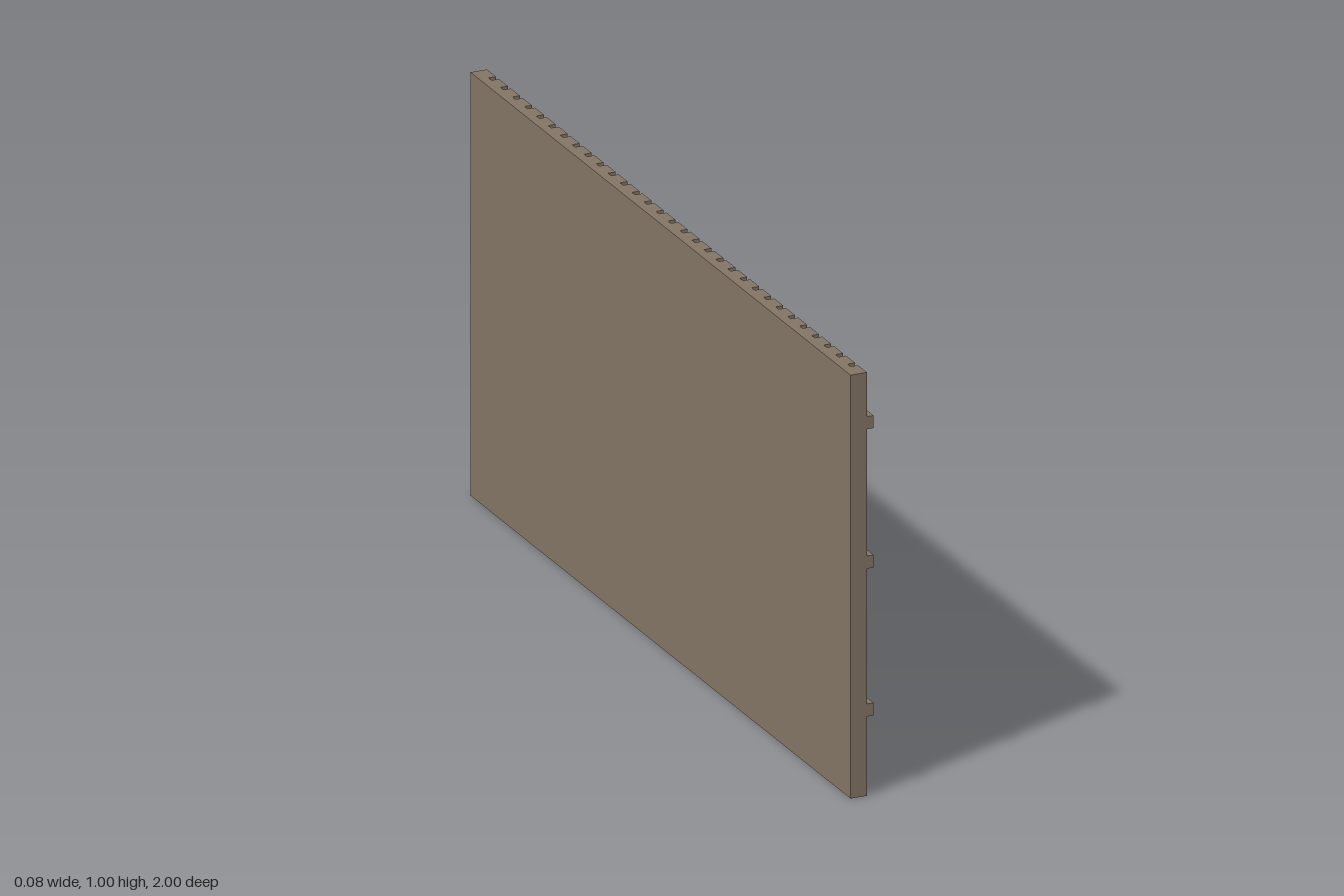
import * as THREE from 'three';

export function createModel() {
  const wood = new THREE.MeshStandardMaterial({ color: 0x857665 });
  wood.name = 'weathered wood';
  const rubber = new THREE.MeshStandardMaterial({ color: 0x34373a });
  rubber.name = 'dark rubber';

  const wall = new THREE.Group();
  wall.name = 'quayWall';
  const H = 1.005;

  // Box given by its x range, y range and z range
  function box(name, x0, x1, y0, y1, z0, z1) {
    const mesh = new THREE.Mesh(new THREE.BoxGeometry(x1 - x0, y1 - y0, z1 - z0), wood);
    mesh.position.set((x0 + x1) / 2, (y0 + y1) / 2, (z0 + z1) / 2);
    mesh.name = name;
    wall.add(mesh);
  }

  // Solid backing panel
  box('backPanel', -0.04, -0.018, 0, H, -1, 1);

  // Upright planks with narrow open gaps
  const count = 32, gap = 0.016;
  const pitch = (2 + gap) / count;
  for (let i = 0; i < count; i++) {
    const z = -1 + i * pitch;
    box('plank', -0.018, 0, 0, H, z, z + pitch - gap);
  }

  // Horizontal rails across the planks
  for (const y of [0.188, 0.539, 0.87]) box('rail', 0, 0.016, y, y + 0.03, -1, 1);

  // Row of tyre fenders
  const tyre = new THREE.TorusGeometry(0.0425, 0.0115, 12, 32).rotateY(Math.PI / 2);
  for (let i = 0; i < 6; i++) {
    const mesh = new THREE.Mesh(tyre, rubber);
    mesh.position.set(0.0255, 0.481, (i - 2.5) / 3);
    mesh.name = 'tyreFender';
    wall.add(mesh);
  }
  return wall;
}
